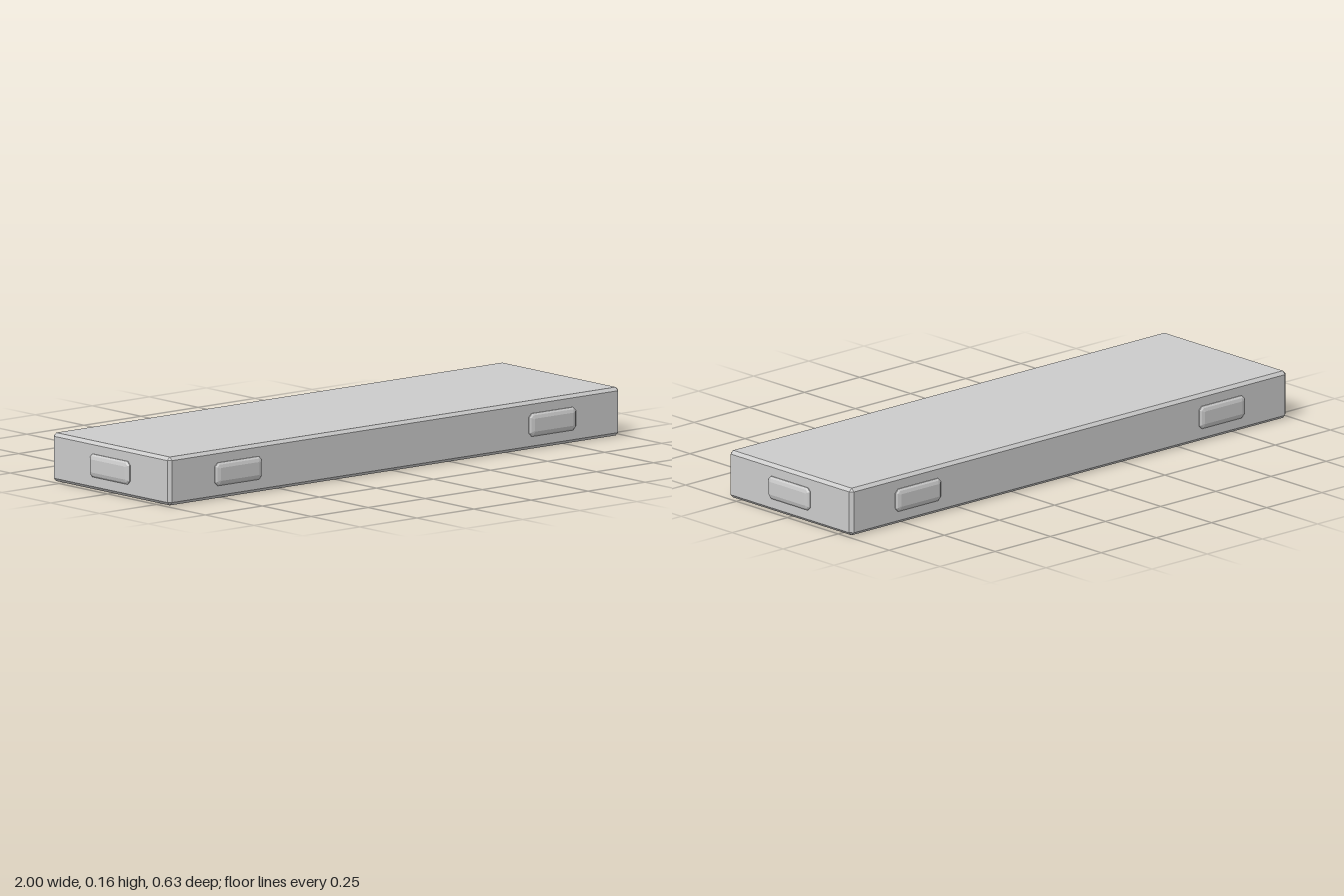
import * as THREE from 'three';
import { ConvexGeometry } from 'three/addons/geometries/ConvexGeometry.js';

const HALF_X = 0.988, HALF_Z = 0.302, HEIGHT = 0.164, BEVEL = 0.011;

// Box with every edge and corner chamfered, centred on the origin
function chamferedBox(hx, hy, hz, c) {
  const points = [];
  for (const x of [-1, 1]) for (const y of [-1, 1]) for (const z of [-1, 1]) {
    points.push(
      new THREE.Vector3(x * hx, y * (hy - c), z * (hz - c)),
      new THREE.Vector3(x * (hx - c), y * hy, z * (hz - c)),
      new THREE.Vector3(x * (hx - c), y * (hy - c), z * hz));
  }
  return new ConvexGeometry(points);
}

// Raised pad facing +z: cut-corner outlines stacked with a two-step bevel
function padGeometry() {
  const layers = [[-0.01, 0], [0.003, 0], [0.0085, 0.006], [0.012, 0.017]]; // depth, inset
  const points = [];
  for (const [z, inset] of layers) {
    const hx = 0.102 - inset, hy = 0.039 - inset;
    const cut = Math.max(0.012 - inset * 0.6, 0.002);
    for (const x of [-1, 1]) for (const y of [-1, 1]) {
      points.push(
        new THREE.Vector3(x * hx, y * (hy - cut), z),
        new THREE.Vector3(x * (hx - cut), y * hy, z));
    }
  }
  return new ConvexGeometry(points);
}

export function createModel() {
  const model = new THREE.Group();
  model.name = 'slab';
  const material = new THREE.MeshStandardMaterial({ color: 0xcccccc, flatShading: true });

  // Main slab
  const body = new THREE.Mesh(chamferedBox(HALF_X, HEIGHT / 2, HALF_Z, BEVEL), material);
  body.name = 'body';
  body.position.y = HEIGHT / 2;
  model.add(body);

  // Pads: two on each long side, one on each end
  const pad = padGeometry();
  const addPad = (name, x, z, turn) => {
    const mesh = new THREE.Mesh(pad, material);
    mesh.name = name;
    mesh.position.set(x, 0.083, z);
    mesh.rotation.y = turn;
    model.add(mesh);
  };
  for (const [side, s] of [['left', 1], ['right', -1]]) {
    addPad(side + 'FrontPad', s * 0.688, HALF_Z, 0);
    addPad(side + 'BackPad', s * 0.688, -HALF_Z, Math.PI);
    addPad(side + 'EndPad', s * HALF_X, 0, s * Math.PI / 2);
  }
  return model;
}
